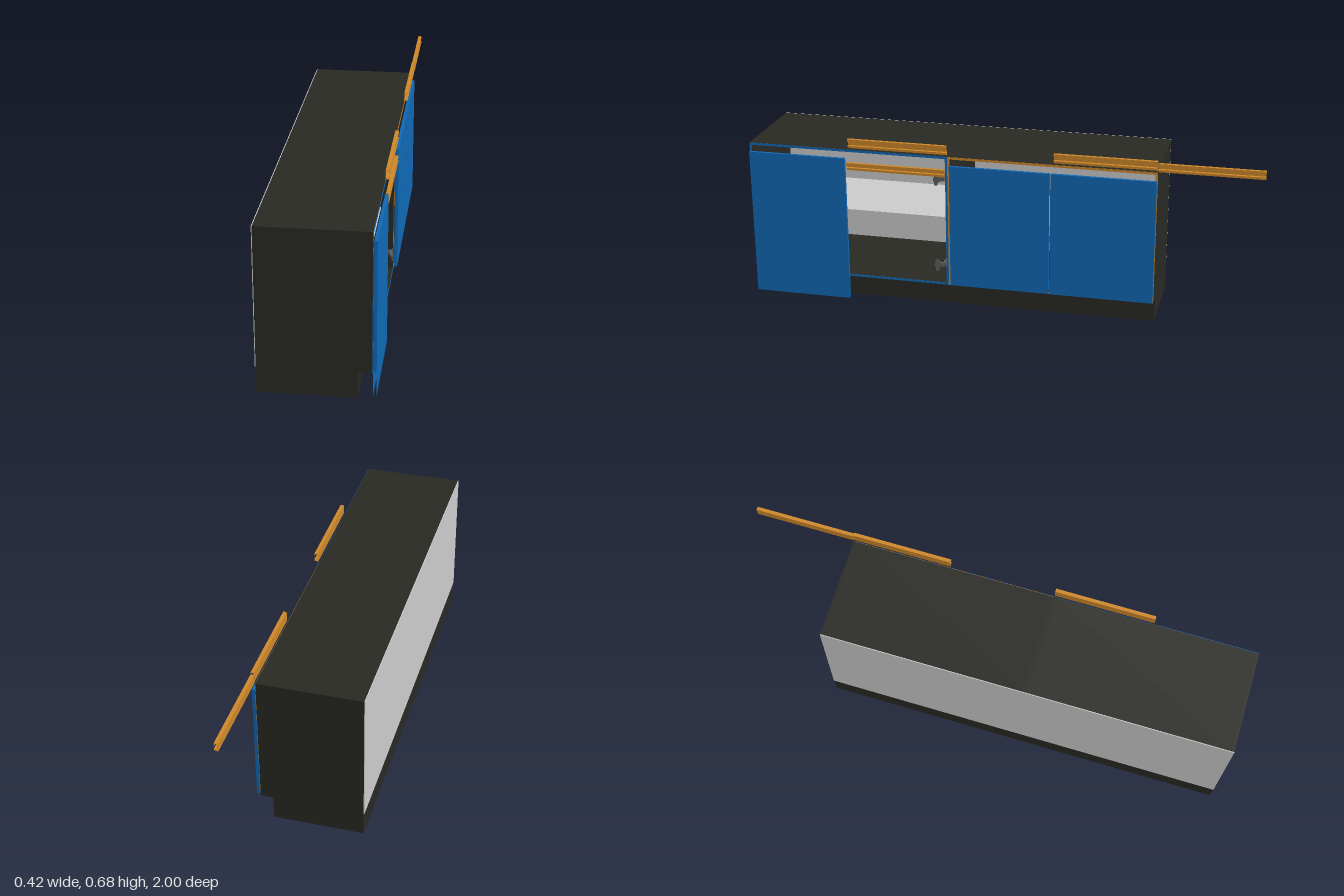
import * as THREE from 'three';

const material = (color) => new THREE.MeshStandardMaterial({ color, side: THREE.DoubleSide });

export function createModel() {
  const model = new THREE.Group();
  const dark = material(0x282923);
  const blue = material(0x1068b5);
  const orange = material(0xcd8729);
  const grey = material(0xcccccc);
  const steel = material(0x5c5c60);

  // Box given by its lower and upper limits on each axis
  function box(name, mat, x0, x1, y0, y1, z0, z1, parent = model) {
    const mesh = new THREE.Mesh(new THREE.BoxGeometry(x1 - x0, y1 - y0, z1 - z0), mat);
    mesh.position.set((x0 + x1) / 2, (y0 + y1) / 2, (z0 + z1) / 2);
    mesh.name = name;
    parent.add(mesh);
    return mesh;
  }

  const T = 0.009;             // board thickness
  const BACK = -0.207, FRONT = 0.194, FLOOR = 0.098, TOP = 0.629;

  // Cabinet carcass: sides, floor, top, back, shelf and coloured edge banding
  function cabinet(z0, z1, edgeMat) {
    const g = new THREE.Group();
    g.name = 'cabinet';
    model.add(g);
    for (const z of [z0, z1 - T]) {
      box('sidePanel', dark, BACK, FRONT, FLOOR, TOP, z, z + T, g);
      box('sideEdge', edgeMat, FRONT, FRONT + 0.001, FLOOR, TOP, z, z + T, g);
    }
    for (const y of [FLOOR, TOP - T]) {
      box('horizontalPanel', dark, BACK, FRONT, y, y + T, z0 + T, z1 - T, g);
      box('horizontalEdge', edgeMat, FRONT, FRONT + 0.001, y, y + T, z0 + T, z1 - T, g);
    }
    box('backPanel', grey, -0.21, BACK, FLOOR, TOP, z0, z1, g);
    box('shelf', grey, BACK, 0.145, 0.354, 0.363, z0 + T, z1 - T, g);
  }
  cabinet(0.2, 1, blue);
  cabinet(-0.606, 0.2, orange);

  // Hollow plinths, open underneath
  for (const [z0, z1] of [[0.2, 1], [-0.606, 0.2]]) {
    const g = new THREE.Group();
    g.name = 'plinth';
    model.add(g);
    for (const x of [BACK, 0.145 - T]) box('plinthRail', dark, x, x + T, 0, FLOOR, z0, z1, g);
    for (const z of [z0, z1 - T]) box('plinthEnd', dark, BACK + T, 0.145 - T, 0, FLOOR, z, z + T, g);
  }

  // Doors
  const DX0 = 0.197, DX1 = 0.209, DY0 = 0.104, DY1 = 0.596;
  for (const [z0, z1] of [[0.607, 0.998], [-0.2, 0.19], [-0.604, -0.204]])
    box('door', blue, DX0, DX1, DY0, DY1, z0, z1);

  // Open-ended lower skirt of the end door
  for (const x of [DX0, DX1]) {
    const skirt = new THREE.Mesh(new THREE.PlaneGeometry(0.391, DY0 - 0.007), blue);
    skirt.name = 'doorSkirt';
    skirt.rotation.y = Math.PI / 2;
    skirt.position.set(x, (DY0 + 0.007) / 2, 0.8025);
    model.add(skirt);
  }

  // Grip rail: thin open profile with flanges, run along z
  function gripRail(y0, height, z0, z1) {
    const g = new THREE.Group();
    g.name = 'gripRail';
    model.add(g);
    const t = 0.0012, x0 = 0.196, x1 = 0.2095, y1 = y0 + height;
    box('web', orange, x0, x0 + t, y0, y1, z0, z1, g);
    box('topFlange', orange, x0, x1, y1 - t, y1, z0, z1, g);
    box('topLip', orange, x1 - t, x1, y1 - 0.011, y1, z0, z1, g);
    for (const y of [y0 + 0.006, y0 + 0.012]) box('lowerFlange', orange, x0, x1, y, y + t, z0, z1, g);
    box('lowerLip', orange, x1 - t, x1, y0 + 0.006, y0 + 0.0132, z0, z1, g);
  }
  gripRail(0.637, 0.039, 0.2, 0.592);
  gripRail(0.637, 0.039, -0.606, -0.215);
  gripRail(0.632, 0.036, -1, -0.608);
  gripRail(0.547, 0.032, 0.21, 0.6);

  // Hinges: mounting plate, arm and cup; dir points into the cabinet along z
  function hinge(y, wall, dir) {
    const g = new THREE.Group();
    g.name = 'hinge';
    g.position.set(0, y, wall);
    g.scale.z = dir;
    model.add(g);
    box('mountingPlate', steel, 0.135, 0.175, -0.024, 0.024, 0, 0.005, g);
    box('arm', steel, 0.13, 0.19, -0.008, 0.008, 0.005, 0.016, g);
    box('link', steel, 0.184, 0.193, -0.008, 0.008, 0.012, 0.034, g);
    box('cupFlange', steel, 0.193, 0.1965, -0.024, 0.024, 0.03, 0.043, g);
    const cup = new THREE.Mesh(new THREE.CylinderGeometry(0.014, 0.014, 0.008, 24), steel);
    cup.name = 'cup';
    cup.rotation.z = Math.PI / 2;
    cup.position.set(0.1925, 0, 0.034);
    g.add(cup);
  }
  for (const y of [0.18, 0.535]) {
    hinge(y, 0.2 + T, 1);
    hinge(y, 1 - T, -1);
    hinge(y, 0.2 - T, -1);
    hinge(y, -0.606 + T, 1);
  }

  return model;
}
